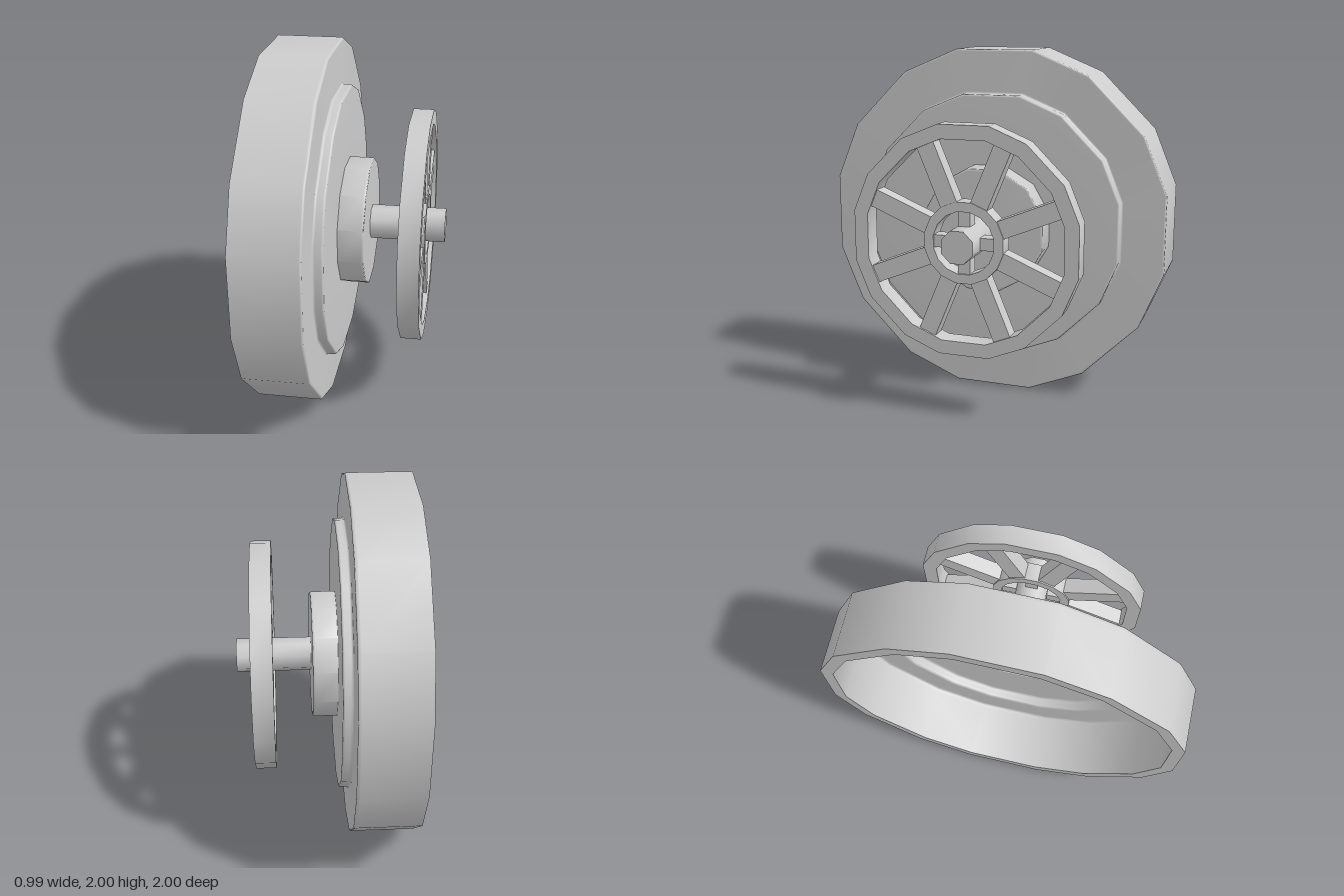
import * as THREE from 'three';
import { toCreasedNormals } from 'three/addons/utils/BufferGeometryUtils.js';

const material = new THREE.MeshStandardMaterial({ color: 0xcccccc });

function addMesh(parent, name, geometry) {
  const mesh = new THREE.Mesh(geometry, material);
  mesh.name = name;
  parent.add(mesh);
  return mesh;
}

// Round the inner corners of a profile by b, with a short straight run beside each
function rounded(profile, b) {
  const pts = profile.map(([r, x]) => new THREE.Vector2(r, x));
  const out = [pts[0]];
  for (let i = 1; i < pts.length - 1; i++) {
    const toward = (q, d) => pts[i].clone().add(q.clone().sub(pts[i]).setLength(d));
    const curve = new THREE.QuadraticBezierCurve(toward(pts[i - 1], b), pts[i], toward(pts[i + 1], b));
    out.push(toward(pts[i - 1], 1.5 * b), ...curve.getPoints(4), toward(pts[i + 1], 1.5 * b));
  }
  out.push(pts[pts.length - 1]);
  return out.map((p) => [p.x, p.y]);
}

// Turn a profile of [radius, x] points about the x axis, with flats up and sideways
function turned(profile, sides, { skew = 0, tilt = 0, crease = 0.7 } = {}) {
  const points = profile.map(([r, x]) => new THREE.Vector2(r, x));
  const geometry = new THREE.LatheGeometry(points, sides, Math.PI / sides);
  geometry.rotateZ(-Math.PI / 2);
  const p = geometry.attributes.position;
  for (let i = 0; i < p.count; i++) {
    const y = p.getY(i), z = p.getZ(i);
    const r = Math.hypot(y, z);
    let a = Math.atan2(z, y);
    a += skew * Math.sin(8 * a); // widens the sides facing up, down and sideways
    const newZ = r * Math.sin(a);
    p.setXYZ(i, p.getX(i) - tilt * newZ, r * Math.cos(a), newZ);
  }
  return toCreasedNormals(geometry, crease);
}

// Closed ring with a rectangular section
const ring = (inner, outer, x0, x1) =>
  [[inner, x0], [outer, x0], [outer, x1], [inner, x1], [inner, x0]];

export function createModel() {
  const model = new THREE.Group();
  model.name = 'coverWithHandwheel';
  const body = new THREE.Group();
  body.name = 'body';
  body.position.y = 1;
  model.add(body);

  // Thin stepped shell, open at the back: inside, rim, then outside
  const inside = rounded([[0.344, -0.09], [0.73, -0.09], [0.73, -0.148], [0.955, -0.148], [0.955, -0.487]], 0.018);
  const outside = rounded([[1.025, -0.487], [1.025, -0.122], [0.769, -0.122], [0.769, -0.065], [0.344, -0.065]], 0.012);
  addMesh(body, 'shell', turned([...inside, ...outside], 16, { skew: 0.0253, tilt: 0.008 }));

  // Hollow raised boss in the middle
  const bossInside = rounded([[0.08, 0.048], [0.328, 0.048], [0.328, -0.075], [0.35, -0.09]], 0.012);
  const bossOutside = rounded([[0.363, -0.07], [0.363, 0.075], [0.08, 0.075]], 0.01);
  addMesh(body, 'boss', turned([...bossInside, ...bossOutside], 12));

  // Octagonal shaft, hollow from the back and closed at the front
  addMesh(body, 'shaft', turned([
    [0, 0.45], [0.078, 0.45], [0.078, 0.042], [0.096, 0.042], [0.096, 0.495], [0, 0.495],
  ], 8, { crease: 0.85 }));

  // Handwheel
  const wheel = new THREE.Group();
  wheel.name = 'handwheel';
  body.add(wheel);
  addMesh(wheel, 'wheelRim', turned(ring(0.57, 0.65, 0.285, 0.4), 16, { skew: 0.0253 }));
  addMesh(wheel, 'wheelHub', turned(ring(0.175, 0.228, 0.29, 0.395), 16));

  for (let i = 0; i < 8; i++) {
    const spoke = new THREE.BoxGeometry(0.09, 0.37, 0.1);
    spoke.translate(0.343, 0.39, 0);
    addMesh(wheel, 'spoke', spoke).rotation.x = (i + 0.5) * Math.PI / 4;
  }
  // Short links joining the hub to the shaft
  for (let i = 0; i < 4; i++) {
    const link = new THREE.BoxGeometry(0.08, 0.1, 0.068);
    link.translate(0.343, 0.14, 0);
    addMesh(wheel, 'hubLink', link).rotation.x = i * Math.PI / 2;
  }
  return model;
}
